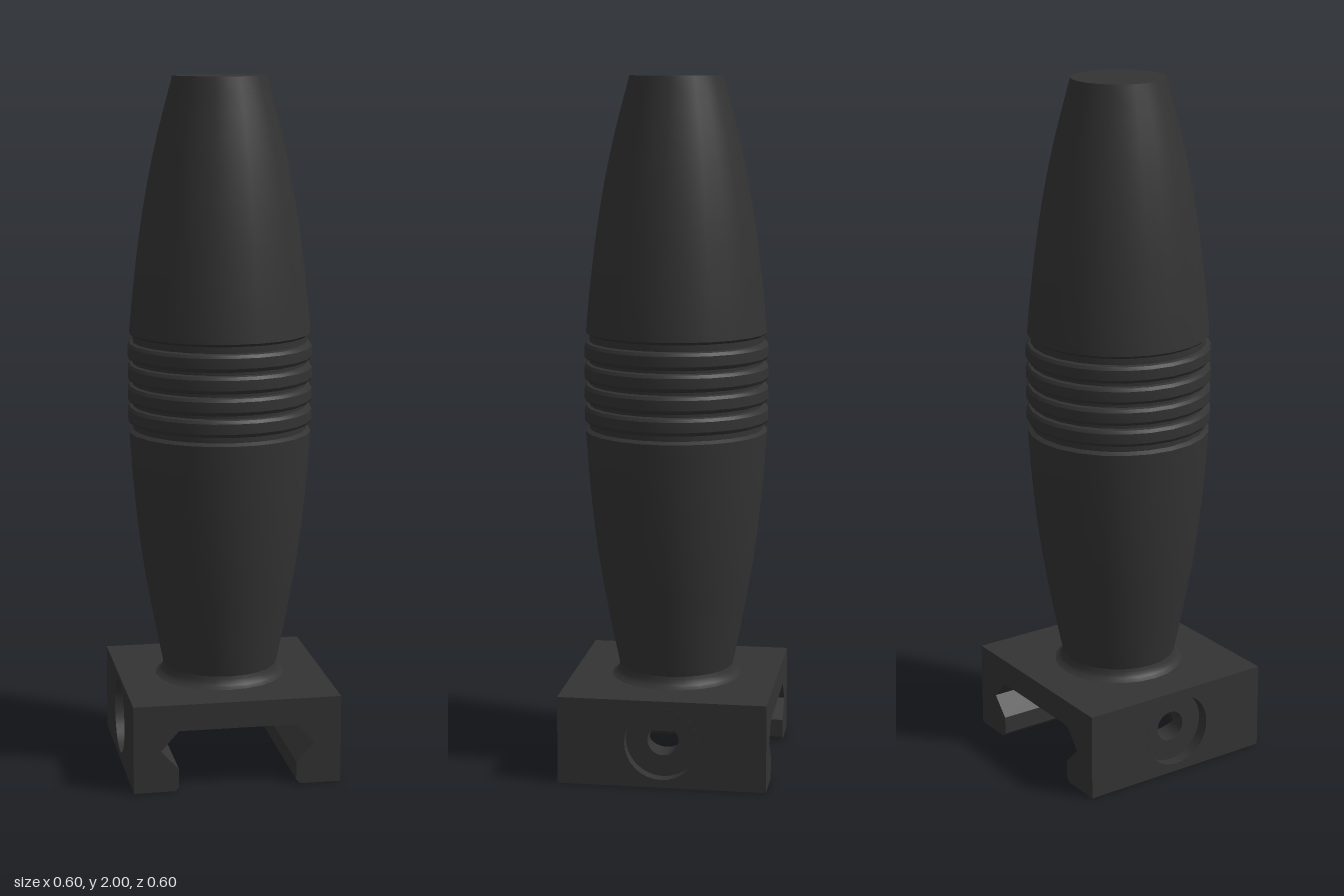
import * as THREE from 'three';
import { toCreasedNormals } from 'three/addons/utils/BufferGeometryUtils.js';

const SIDES = 24;
const HALF = 0.3;                       // half length and half width of the clamp
const TOP = 0.255;                      // top of the clamp
const HOLE_Y = 0.13, BORE_R = 0.045, SINK_R = 0.107, SINK_X = 0.265;
const SLOT_TOP = 0.178, GROOVE_Y = 0.12, LIP_Y = 0.065;
const SLOT_X = 0.17, GROOVE_X = 0.222;

const material = new THREE.MeshStandardMaterial({ color: 0x333333 });
const openMaterial = new THREE.MeshStandardMaterial({ color: 0x333333, side: THREE.DoubleSide });

function add(parent, name, geometry, mat = material) {
  const mesh = new THREE.Mesh(geometry, mat);
  mesh.name = name;
  parent.add(mesh);
  return mesh;
}

// x of the V-shaped groove wall at height y
function grooveX(y) {
  const end = y > GROOVE_Y ? SLOT_TOP : LIP_Y;
  return THREE.MathUtils.lerp(GROOVE_X, SLOT_X, (y - GROOVE_Y) / (end - GROOVE_Y));
}

// Stands a shape drawn in (z, y) up as a wall; dir is the x direction it faces
function wall(shape, xOf, dir) {
  const geometry = new THREE.ShapeGeometry(shape, 32);
  const p = geometry.attributes.position;
  for (let i = 0; i < p.count; i++) {
    const u = p.getX(i), y = p.getY(i);
    p.setXYZ(i, xOf(y), y, -dir * u);
  }
  geometry.computeVertexNormals();
  return geometry;
}

// Half of a groove wall, with its share of the round bolt hole cut out
function grooveWall(edgeY) {
  const a = Math.asin((GROOVE_Y - HOLE_Y) / BORE_R);
  const s = new THREE.Shape();
  s.moveTo(-HALF, edgeY);
  s.lineTo(HALF, edgeY);
  s.lineTo(HALF, GROOVE_Y);
  s.absarc(0, HOLE_Y, BORE_R, a, -Math.PI - a, edgeY < GROOVE_Y);
  s.lineTo(-HALF, GROOVE_Y);
  return wall(s, grooveX, -1);
}

// Open tube along x, from the rule xInner(y) out to xOuter
function bore(radius, xInner, xOuter) {
  const geometry = new THREE.CylinderGeometry(radius, radius, 1, 32, 1, true).rotateZ(Math.PI / 2);
  const p = geometry.attributes.position;
  for (let i = 0; i < p.count; i++) {
    const y = p.getY(i) + HOLE_Y;
    p.setXYZ(i, p.getX(i) > 0 ? xOuter : xInner(y), y, p.getZ(i));
  }
  return geometry;
}

// Flat strip running the length of the clamp along each pair of profile points
function strips(pairs) {
  const v = [];
  for (const [a, b] of pairs) {
    const [a1, a0, b0, b1] = [[...a, HALF], [...a, -HALF], [...b, -HALF], [...b, HALF]];
    v.push(...a1, ...a0, ...b0, ...a1, ...b0, ...b1);
  }
  const geometry = new THREE.BufferGeometry();
  geometry.setAttribute('position', new THREE.Float32BufferAttribute(v, 3));
  geometry.computeVertexNormals();
  return geometry;
}

function clampHalf() {
  const half = new THREE.Group();
  const profile = [[0, SLOT_TOP], [SLOT_X, SLOT_TOP], [GROOVE_X, GROOVE_Y], [SLOT_X, LIP_Y],
    [SLOT_X, 0.012], [0.182, 0], [HALF, 0], [HALF, TOP], [0, TOP]];

  // End face across the full width
  const mirrored = profile.slice(1, -1).reverse().map(([x, y]) => [-x, y]);
  const outline = [...profile, ...mirrored].map(([x, y]) => new THREE.Vector2(x, y));
  add(half, 'clampEnd', new THREE.ShapeGeometry(new THREE.Shape(outline)).translate(0, 0, HALF));

  // Plain faces: all profile edges without the bolt hole
  add(half, 'clampFaces', strips([0, 3, 4, 5, 7].map(i => [profile[i], profile[i + 1]])));

  // Outer side with the counterbore opening
  const side = new THREE.Shape();
  side.moveTo(-HALF, 0).lineTo(HALF, 0).lineTo(HALF, TOP).lineTo(-HALF, TOP);
  side.holes.push(new THREE.Path().absarc(0, HOLE_Y, SINK_R, 0, Math.PI * 2));
  add(half, 'clampSide', wall(side, () => HALF, 1));

  add(half, 'grooveLower', grooveWall(LIP_Y));
  add(half, 'grooveUpper', grooveWall(SLOT_TOP));

  // Counterbore, its floor and the bolt hole
  add(half, 'counterbore', bore(SINK_R, () => SINK_X, HALF), openMaterial);
  add(half, 'counterboreFloor', new THREE.RingGeometry(BORE_R, SINK_R, 32)
    .rotateY(Math.PI / 2).translate(SINK_X, HOLE_Y, 0));
  add(half, 'boltHole', bore(BORE_R, grooveX, SINK_X), openMaterial);
  return half;
}

function curve(points, n) {
  return new THREE.SplineCurve(points.map(([r, y]) => new THREE.Vector2(r, y))).getPoints(n);
}

export function createModel() {
  const model = new THREE.Group();
  model.name = 'foregrip';

  // Rail clamp from two half-turn copies
  const clamp = new THREE.Group();
  clamp.name = 'railClamp';
  for (const [name, turn] of [['clampLeft', 0], ['clampRight', Math.PI]]) {
    const half = clampHalf();
    half.name = name;
    half.rotation.y = turn;
    clamp.add(half);
  }
  model.add(clamp);

  // Handle: flared foot, lower swell, ridged waist, upper taper
  const foot = curve([[0.19, TOP], [0.174, 0.267], [0.167, 0.288]], 5);
  const lower = curve([[0.167, 0.288], [0.19, 0.4], [0.226, 0.6], [0.25, 0.8], [0.264, 0.985]], 14);
  const ridges = [];
  const groove = 0.252, ridge = 0.267, bevel = 0.006;
  ridges.push(new THREE.Vector2(groove, 0.993));
  for (let i = 0; i < 4; i++) {
    const y0 = 1.014 + i * 0.0615, y1 = y0 + 0.041;
    for (const [r, y] of [[groove, y0 - bevel], [ridge - bevel, y0 - bevel / 2], [ridge, y0 + bevel],
      [ridge, y1 - bevel], [ridge - bevel, y1 + bevel / 2], [groove, y1 + bevel]]) {
      ridges.push(new THREE.Vector2(r, y));
    }
  }
  ridges.push(new THREE.Vector2(groove, 1.264));
  const upper = curve([[0.262, 1.272], [0.25, 1.4], [0.224, 1.6], [0.186, 1.8], [0.134, 2]], 14);
  const points = [...foot, ...lower.slice(1), ...ridges, ...upper];
  add(model, 'handle', toCreasedNormals(new THREE.LatheGeometry(points, SIDES), 0.45));

  // Flat top of the handle
  add(model, 'handleTop', new THREE.CircleGeometry(0.134, SIDES).rotateX(-Math.PI / 2).translate(0, 2, 0));
  return model;
}
